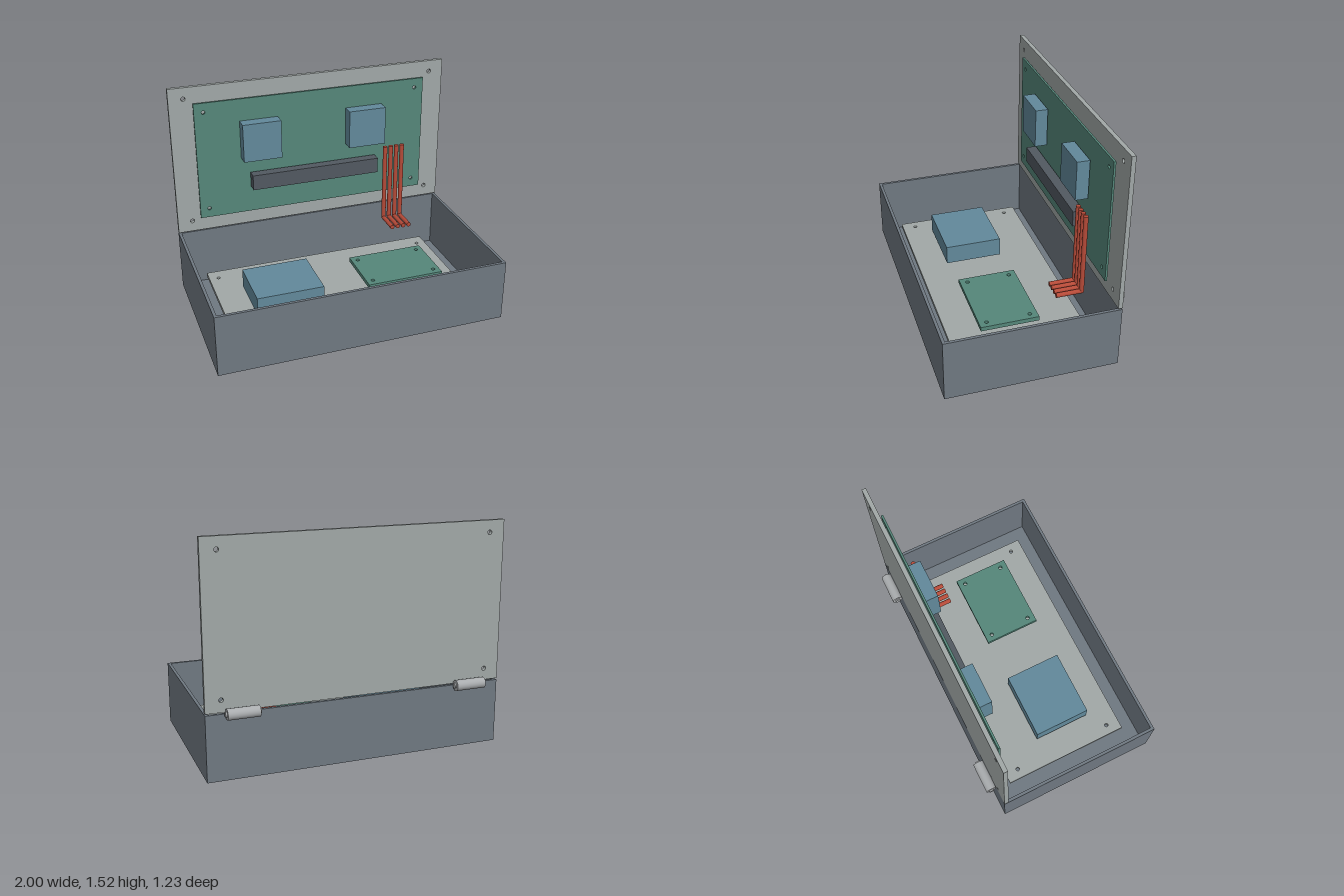
import * as THREE from 'three';

const mat = (name, color) => {
  const m = new THREE.MeshStandardMaterial({ color });
  m.name = name;
  return m;
};

export function createModel() {
  const slate = mat('slate case', 0x6f7881);
  const grey = mat('light grey panel', 0xa1a8a7);
  const green = mat('circuit green', 0x55877a);
  const blue = mat('component blue', 0x62899b);
  const dark = mat('dark connector', 0x525961);
  const red = mat('cable red', 0xb54a38);
  const steel = mat('hinge steel', 0xa9acae);

  const model = new THREE.Group();
  model.name = 'hingedElectronicsBox';

  const add = (name, geometry, material, parent = model) => {
    const mesh = new THREE.Mesh(geometry, material);
    mesh.name = name;
    parent.add(mesh);
    return mesh;
  };

  // Box given by its limits on each axis
  const block = (name, material, x0, x1, y0, y1, z0, z1, parent) => {
    const mesh = add(name, new THREE.BoxGeometry(x1 - x0, y1 - y0, z1 - z0), material, parent);
    mesh.position.set((x0 + x1) / 2, (y0 + y1) / 2, (z0 + z1) / 2);
    return mesh;
  };

  // Flat rectangular sheet with four corner holes, extruded along +z
  const sheet = (w, h, depth, hx, hy, r) => {
    const s = new THREE.Shape();
    s.moveTo(-w / 2, -h / 2);
    s.lineTo(w / 2, -h / 2);
    s.lineTo(w / 2, h / 2);
    s.lineTo(-w / 2, h / 2);
    s.closePath();
    for (const sx of [-1, 1]) for (const sy of [-1, 1]) {
      const hole = new THREE.Path();
      hole.absarc(sx * hx, sy * hy, r, 0, Math.PI * 2, true);
      s.holes.push(hole);
    }
    return new THREE.ExtrudeGeometry(s, { depth, bevelEnabled: false, curveSegments: 16 });
  };

  // Open case: floor and four walls
  const box = new THREE.Group();
  box.name = 'case';
  model.add(box);
  const H = 0.435, T = 0.02, zB = -0.543, zF = 0.615;
  block('caseFloor', slate, -1, 1, 0, T, zB, zF, box);
  block('caseFront', slate, -1, 1, T, H, zF - T, zF, box);
  block('caseBack', slate, -1, 1, T, H, zB, zB + T, box);
  for (const s of [-1, 1]) {
    const x = s * (1 - T / 2);
    block(s > 0 ? 'caseLeft' : 'caseRight', slate, x - T / 2, x + T / 2, T, H, zB + T, zF - T, box);
  }

  // Upright lid and its circuit board
  const lid = add('lid', sheet(2, 1.073, 0.029, 0.898, 0.457, 0.015), grey);
  lid.position.set(0, 0.982, -0.543);
  const board = add('lidBoard', sheet(1.678, 0.854, 0.014, 0.774, 0.36, 0.013), green);
  board.position.set(0, 0.979, -0.498);
  block('lidChip', blue, -0.53, -0.257, 0.975, 1.25, -0.476, -0.389);
  block('lidChip', blue, 0.243, 0.515, 0.975, 1.25, -0.476, -0.389);
  block('lidConnector', dark, -0.47, 0.467, 0.75, 0.86, -0.471, -0.4);

  // Mounting plate, power block and small board inside the case
  const plate = add('mountingPlate', sheet(1.678, 0.906, 0.029, 0.774, 0.36, 0.013), grey);
  plate.rotation.x = -Math.PI / 2;
  plate.position.set(0, 0.106, 0.033);
  block('powerBlock', blue, -0.647, -0.182, 0.165, 0.3, -0.109, 0.289);
  const small = add('smallBoard', sheet(0.547, 0.398, 0.03, 0.228, 0.148, 0.013), green);
  small.rotation.x = -Math.PI / 2;
  small.position.set(0.417, 0.215, 0.09);

  // Four ribbon cables: a vertical run and a short run toward the front
  const R = 0.016, yLow = 0.365, zUp = -0.408;
  for (let i = 0; i < 4; i++) {
    const x = 0.527 + i * 0.0435;
    const cable = new THREE.Group();
    cable.name = 'cable';
    model.add(cable);
    const up = add('cableRise', new THREE.CylinderGeometry(R, R, 0.94 - yLow, 20), red, cable);
    up.position.set(x, (0.94 + yLow) / 2, zUp);
    const run = add('cableRun', new THREE.CylinderGeometry(R, R, 0.178, 20), red, cable);
    run.rotation.x = Math.PI / 2;
    run.position.set(x, yLow, zUp + 0.089);
    add('cableElbow', new THREE.SphereGeometry(R, 20, 12), red, cable).position.set(x, yLow, zUp);
  }

  // Two hinges: knuckle with a slightly longer pin
  for (const s of [-1, 1]) {
    const hinge = new THREE.Group();
    hinge.name = s > 0 ? 'leftHinge' : 'rightHinge';
    hinge.rotation.z = Math.PI / 2;
    hinge.position.set(s * 0.772, 0.442, -0.58);
    model.add(hinge);
    add('hingeKnuckle', new THREE.CylinderGeometry(0.036, 0.036, 0.206, 32), steel, hinge);
    add('hingePin', new THREE.CylinderGeometry(0.017, 0.017, 0.226, 24), steel, hinge);
  }

  return model;
}
